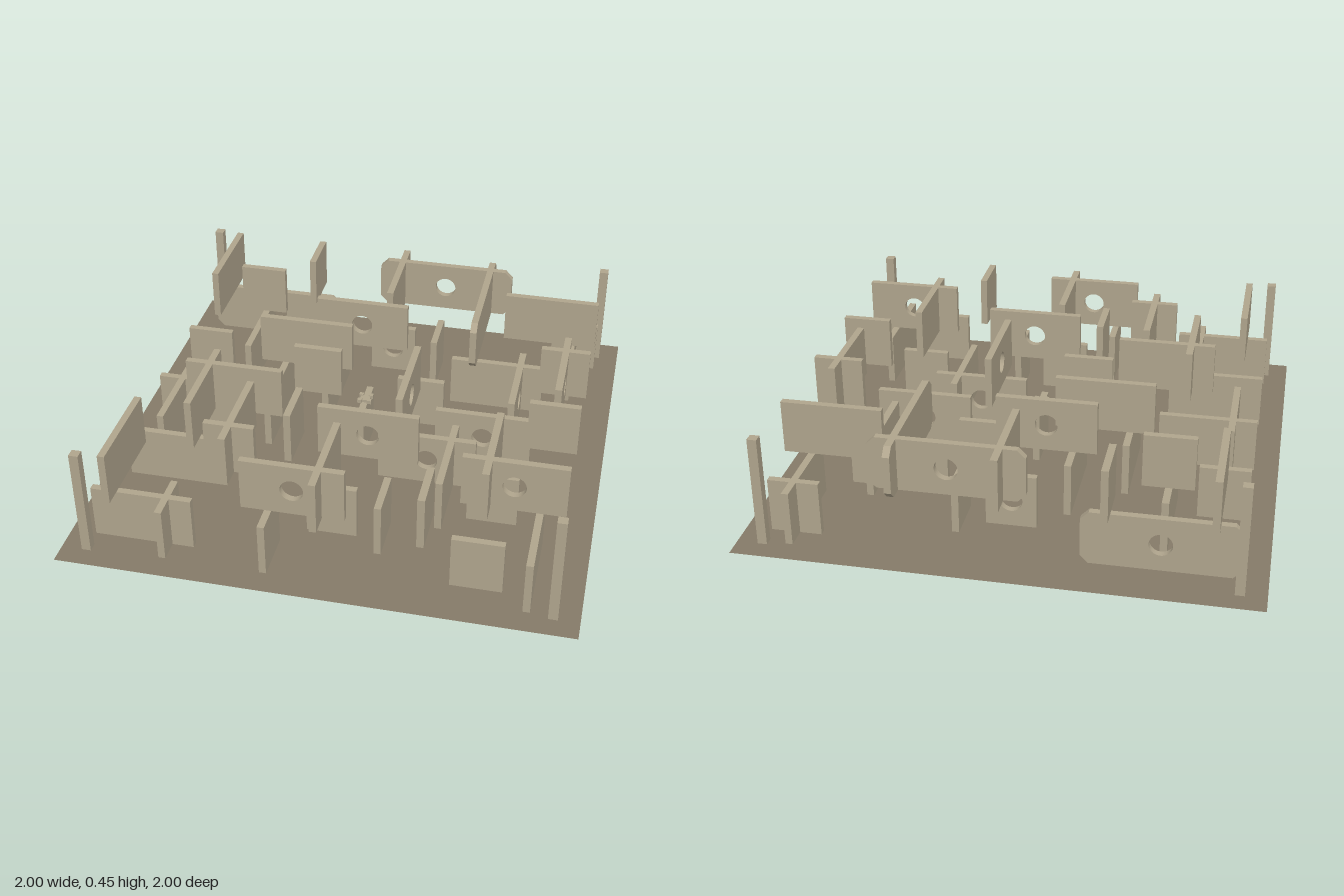
import * as THREE from 'three';

const THICK = 0.028;
const LEVELS = { L: [0, 0.22], U: [0.235, 0.45] };

// Panels as [line position, start, end, level, has a round hole]
const ACROSS = [
  [-0.8, -0.9, -0.3, 'L', 1], [-0.8, -0.1, 0.5, 'U', 1], [-0.8, 0.7, 0.9, 'L'],
  [-0.6, -0.7, -0.5, 'U'], [-0.6, -0.1, 0.1, 'L', 1], [-0.6, 0.5, 0.9, 'U'],
  [-0.4, -0.9, -0.7, 'L'], [-0.4, -0.3, 0.1, 'U', 1], [-0.4, 0.3, 0.7, 'L'],
  [-0.2, -0.5, -0.1, 'U'], [-0.2, 0.1, 0.3, 'L'], [-0.2, 0.7, 0.9, 'U'],
  [0, -0.9, -0.5, 'L'], [0, -0.3, -0.1, 'U'], [0, 0.3, 0.7, 'L', 1],
  [0.2, -0.7, -0.3, 'U'], [0.2, 0.1, 0.5, 'L', 1], [0.2, 0.7, 0.9, 'U'],
  [0.4, -0.9, -0.5, 'L'], [0.4, -0.1, 0.3, 'U', 1], [0.4, 0.5, 0.7, 'L'],
  [0.6, -0.5, -0.3, 'U'], [0.6, -0.1, 0.1, 'L'], [0.6, 0.5, 0.9, 'U', 1],
  [0.8, -0.9, -0.5, 'L'], [0.8, -0.3, 0.1, 'U', 1], [0.8, 0.5, 0.7, 'L'],
];
const ALONG = [
  [-0.8, -0.9, -0.5, 'U'], [-0.8, -0.1, 0.3, 'L'], [-0.8, 0.5, 0.9, 'U'],
  [-0.6, -0.7, -0.3, 'L'], [-0.6, 0.1, 0.5, 'U'], [-0.6, 0.7, 0.9, 'L'],
  [-0.4, -0.9, -0.7, 'U'], [-0.4, -0.3, 0.1, 'L'], [-0.4, 0.3, 0.7, 'U'],
  [-0.2, -0.5, -0.1, 'L'], [-0.2, 0.3, 0.5, 'U'], [-0.2, 0.7, 0.9, 'L'],
  [0, -0.9, -0.5, 'U'], [0, -0.1, 0.1, 'L'], [0, 0.5, 0.9, 'U'],
  [0.2, -0.7, -0.5, 'L'], [0.2, -0.1, 0.3, 'U', 1], [0.2, 0.5, 0.7, 'L'],
  [0.4, -0.9, -0.3, 'U'], [0.4, 0.1, 0.5, 'L'], [0.4, 0.7, 0.9, 'U'],
  [0.6, -0.5, -0.1, 'L', 1], [0.6, 0.3, 0.7, 'U'],
  [0.8, -0.9, -0.5, 'L'], [0.8, -0.3, 0.1, 'U', 1], [0.8, 0.5, 0.9, 'L'],
];

// Upright panel centred on its own origin; the longest ones have cut corners
function panelGeometry(length, height, hole) {
  const w = length / 2, h = height / 2, c = length > 0.5 ? 0.032 : 0;
  const outline = c
    ? [[-w + c, -h], [w - c, -h], [w, -h + c], [w, h - c], [w - c, h], [-w + c, h], [-w, h - c], [-w, -h + c]]
    : [[-w, -h], [w, -h], [w, h], [-w, h]];
  const shape = new THREE.Shape(outline.map(([x, y]) => new THREE.Vector2(x, y)));
  if (hole) shape.holes.push(new THREE.Path().absarc(0, 0, 0.045, 0, Math.PI * 2, true));
  const geometry = new THREE.ExtrudeGeometry(shape, { depth: THICK, bevelEnabled: false, curveSegments: 24 });
  return geometry.translate(0, 0, -THICK / 2);
}

export function createModel() {
  const model = new THREE.Group();
  const wallMaterial = new THREE.MeshStandardMaterial({ color: 0xb0a58d });
  const floorMaterial = new THREE.MeshStandardMaterial({ color: 0x857a68, side: THREE.DoubleSide });

  const add = (parent, name, geometry, x, y, z, material = wallMaterial) => {
    const mesh = new THREE.Mesh(geometry, material);
    mesh.name = name;
    mesh.position.set(x, y, z);
    parent.add(mesh);
    return mesh;
  };

  // Ground sheet
  add(model, 'floor', new THREE.PlaneGeometry(2, 2).rotateX(-Math.PI / 2), 0, 0, 0, floorMaterial);

  // Two storeys of panels running in both directions
  const walls = { L: new THREE.Group(), U: new THREE.Group() };
  walls.L.name = 'lowerWalls';
  walls.U.name = 'upperWalls';
  model.add(walls.L, walls.U);
  const addPanel = ([line, start, end, level, hole], turned) => {
    const [bottom, top] = LEVELS[level];
    const geometry = panelGeometry(end - start, top - bottom, hole);
    const mid = (start + end) / 2, y = (bottom + top) / 2;
    if (turned) add(walls[level], 'lengthwisePanel', geometry.rotateY(Math.PI / 2), line, y, mid);
    else add(walls[level], 'crosswisePanel', geometry, mid, y, line);
  };
  ACROSS.forEach((p) => addPanel(p, false));
  ALONG.forEach((p) => addPanel(p, true));

  // Corner posts
  for (const x of [-0.9, 0.9])
    for (const z of [-0.9, 0.9])
      add(model, 'cornerPost', new THREE.BoxGeometry(0.037, 0.45, 0.037), x, 0.225, z);

  // Small cap on the middle panel
  const cap = new THREE.Group();
  cap.name = 'centreCap';
  model.add(cap);
  add(cap, 'capPlate', new THREE.BoxGeometry(0.04, 0.012, 0.04), 0, 0.226, 0);
  for (const x of [-0.02, 0.02])
    for (const z of [-0.02, 0.02])
      add(cap, 'capStud', new THREE.BoxGeometry(0.018, 0.015, 0.018), x, 0.2275, z);

  return model;
}
